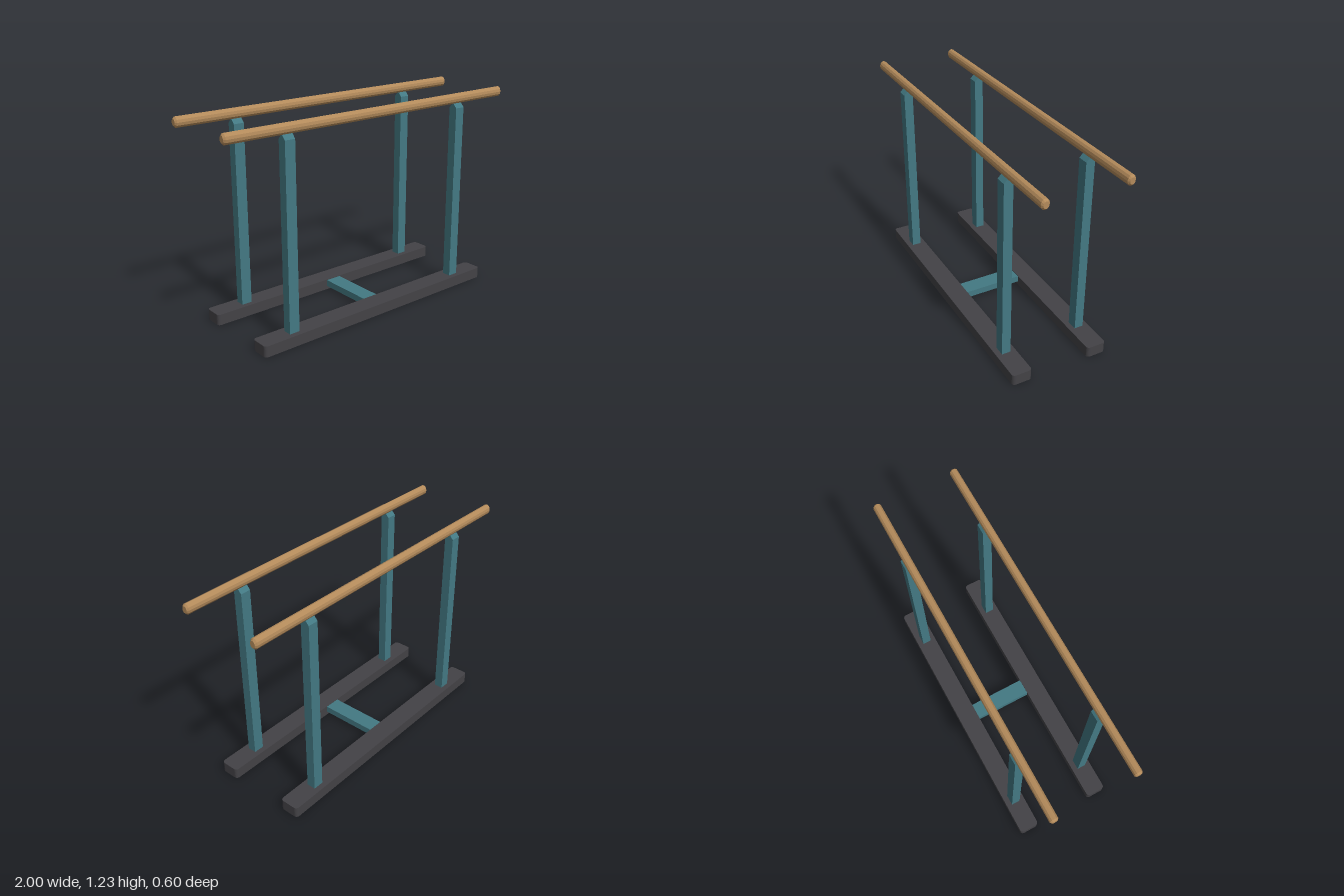
import * as THREE from 'three';

const wood = new THREE.MeshStandardMaterial({ name: 'wood', color: 0xb48b5b });
const teal = new THREE.MeshStandardMaterial({ name: 'teal paint', color: 0x437983 });
const rubber = new THREE.MeshStandardMaterial({ name: 'dark base', color: 0x434246 });
wood.flatShading = true;

// Oval rail along x with bevelled ends
function railGeometry() {
  const profile = [[0, -1], [0.02, -1], [0.031, -0.99], [0.031, 0.99], [0.02, 1], [0, 1]]
    .map(([r, y]) => new THREE.Vector2(r, y));
  return new THREE.LatheGeometry(profile, 12).scale(1, 1, 0.79).rotateZ(Math.PI / 2);
}

// Square upright whose top is a ridge running along x
function postGeometry() {
  const w = 0.027, shoulder = 1.145, ridge = 1.175;
  const shape = new THREE.Shape([[-w, 0.06], [w, 0.06], [w, shoulder], [0, ridge], [-w, shoulder]]
    .map(([x, y]) => new THREE.Vector2(x, y)));
  return new THREE.ExtrudeGeometry(shape, { depth: 0.064, bevelEnabled: false })
    .translate(0, 0, -0.032).rotateY(Math.PI / 2);
}

// Flat beam with rounded corners in plan
function footGeometry() {
  const x = 0.837, z = 0.06, r = 0.02;
  const s = new THREE.Shape();
  s.absarc(x - r, z - r, r, 0, Math.PI / 2);
  s.absarc(-x + r, z - r, r, Math.PI / 2, Math.PI);
  s.absarc(-x + r, -z + r, r, Math.PI, Math.PI * 1.5);
  s.absarc(x - r, -z + r, r, Math.PI * 1.5, Math.PI * 2);
  return new THREE.ExtrudeGeometry(s, { depth: 0.065, bevelEnabled: false, curveSegments: 3 })
    .rotateX(-Math.PI / 2);
}

export function createModel() {
  const model = new THREE.Group();
  model.name = 'parallelBars';
  const add = (name, geometry, material, x, y, z) => {
    const mesh = new THREE.Mesh(geometry, material);
    mesh.name = name;
    mesh.position.set(x, y, z);
    model.add(mesh);
  };

  const rail = railGeometry(), post = postGeometry(), foot = footGeometry();
  for (const [side, z] of [['front', 0.24], ['back', -0.24]]) {
    add(side + 'Rail', rail, wood, 0, 1.2, z);
    add(side + 'Foot', foot, rubber, 0, 0, z);
    add(side + 'LeftPost', post, teal, 0.622, 0, z);
    add(side + 'RightPost', post, teal, -0.622, 0, z);
  }

  // Beam joining the two feet
  add('crossBeam', new THREE.BoxGeometry(0.1, 0.04, 0.38), teal, 0, 0.042, 0);
  return model;
}
